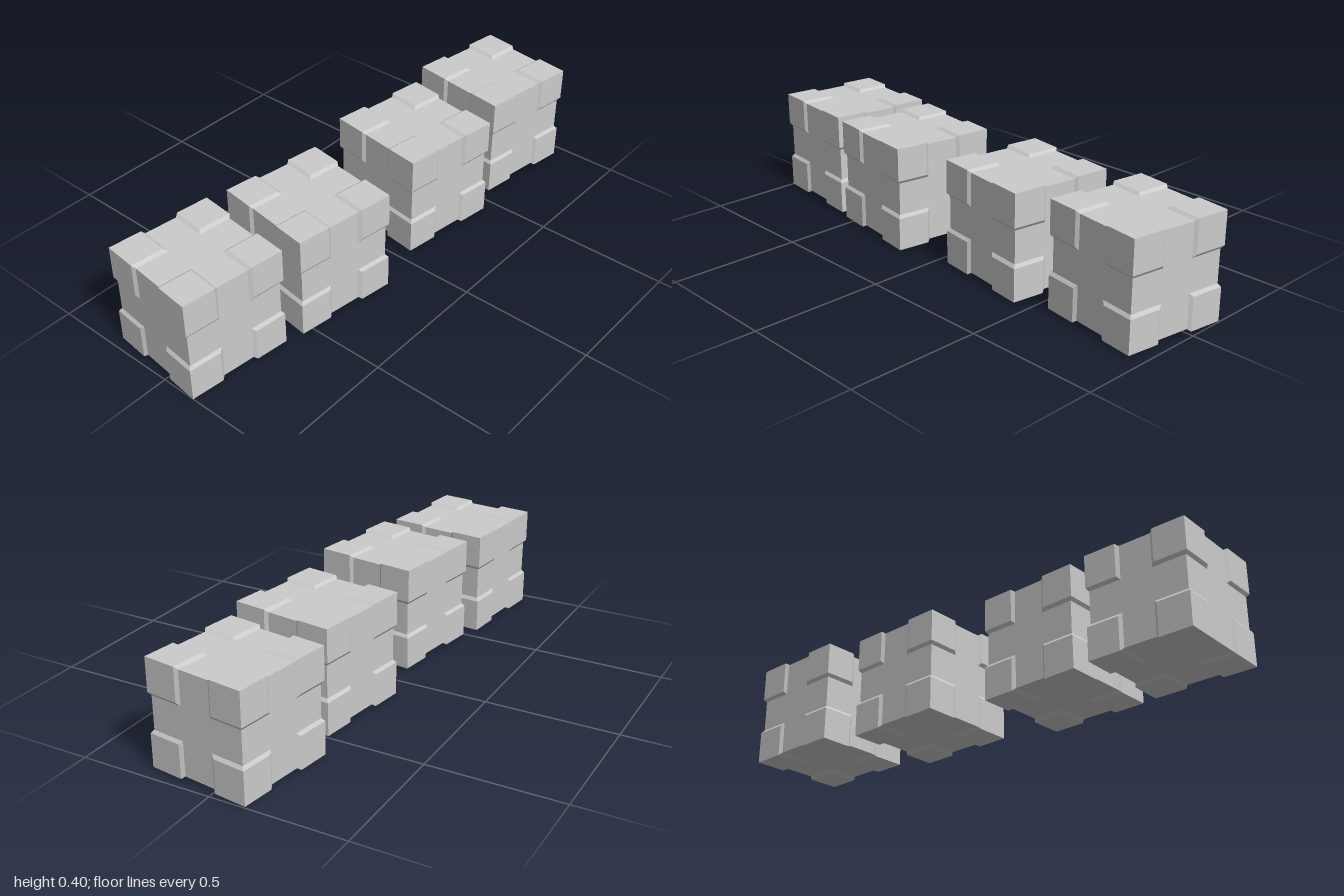
import * as THREE from 'three';
import { ConvexGeometry } from 'three/addons/geometries/ConvexGeometry.js';

const H = 0.199;      // half size of a block
const PAD = 0.125;    // width of a corner piece on its outer face
const BEVEL = 0.012;  // widening of the corner piece at its foot
const RISE = 0.009;   // height of the corner piece above the core

const material = new THREE.MeshStandardMaterial({ color: 0xcccccc, flatShading: true });

// Bevelled corner piece wrapping the corner with signs sx, sy, sz
function cornerGeometry(sx, sy, sz) {
  const points = [];
  const addCorners = (outer, inner) => {
    for (let i = 0; i < 7; i++) {
      const [x, y, z] = [1, 2, 4].map((bit) => (i & bit ? inner : outer));
      points.push(new THREE.Vector3(x * sx, y * sy, z * sz));
    }
  };
  addCorners(H, H - PAD);
  addCorners(H - RISE, H - PAD - BEVEL);
  const foot = H - PAD - BEVEL;
  points.push(new THREE.Vector3(foot * sx, foot * sy, foot * sz));
  return new ConvexGeometry(points);
}

// Cube core with eight raised corner pieces
function createBlock() {
  const block = new THREE.Group();
  const size = 2 * (H - RISE);
  const core = new THREE.Mesh(new THREE.BoxGeometry(size, size, size), material);
  core.name = 'core';
  block.add(core);
  for (const sx of [-1, 1]) for (const sy of [-1, 1]) for (const sz of [-1, 1]) {
    const corner = new THREE.Mesh(cornerGeometry(sx, sy, sz), material);
    corner.name = 'cornerPiece';
    block.add(corner);
  }
  return block;
}

export function createModel() {
  const model = new THREE.Group();
  model.name = 'blockRow';
  // Centre and turn of each block in the row
  const placements = [
    [-0.781, 0.199, -0.04, -0.109],
    [-0.321, 0.204, 0.034, -0.138],
    [0.273, 0.204, 0.033, -0.138],
    [0.776, 0.204, 0.034, -0.138],
  ];
  placements.forEach(([x, y, z, turn], i) => {
    const block = createBlock();
    block.name = `block${i + 1}`;
    block.position.set(x, y, z);
    block.rotation.y = turn;
    model.add(block);
  });
  return model;
}
